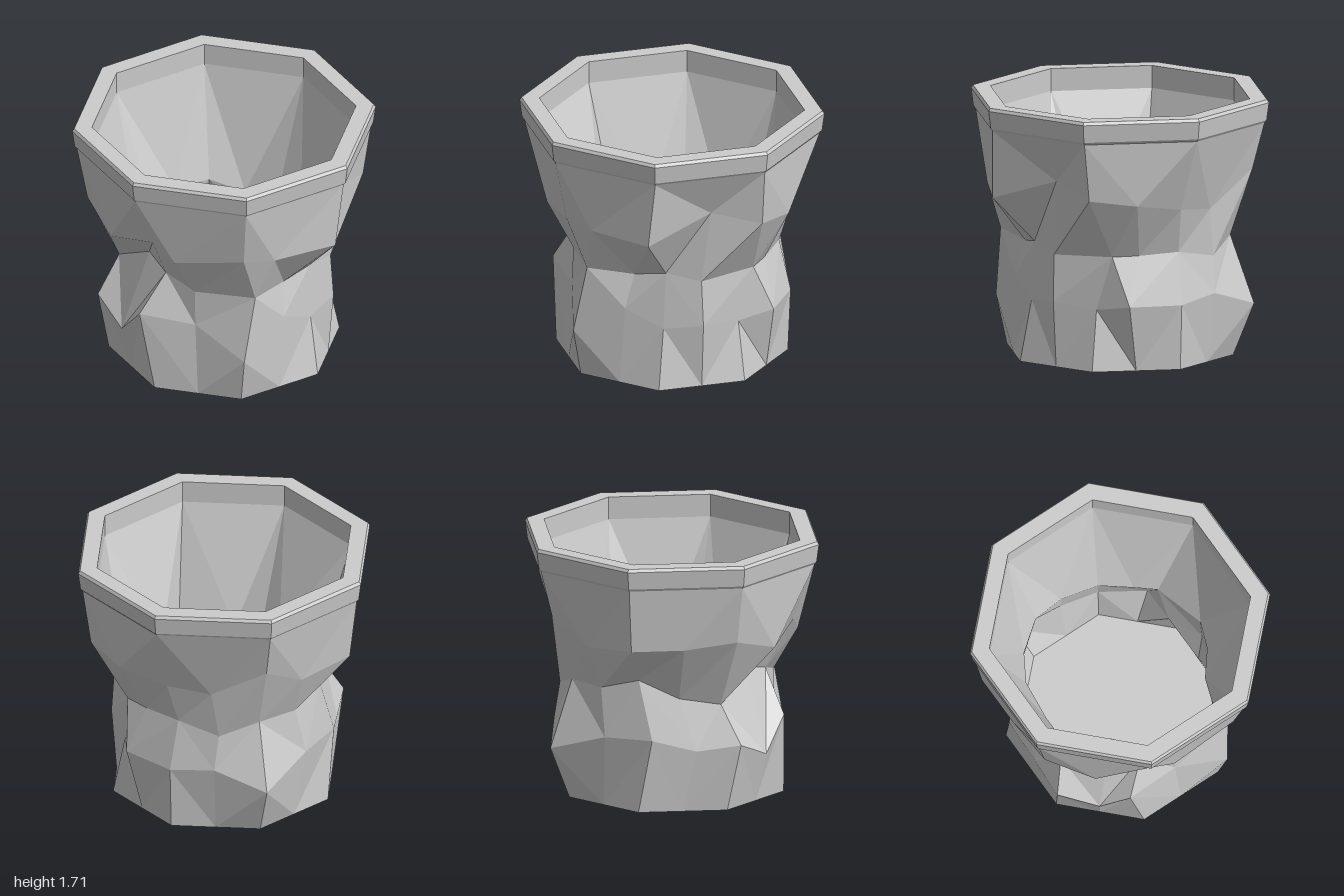
import * as THREE from 'three';

const SIDES = 16;
const material = new THREE.MeshStandardMaterial({ color: 0xcccccc, flatShading: true });

// Octagon ring with a corner facing the front, plus the middle of each edge
function octagon(radius, y) {
  return Array.from({ length: SIDES }, (_, k) => {
    const a = (k * Math.PI * 2) / SIDES;
    const r = k % 2 ? radius * Math.cos(Math.PI / 8) : radius;
    return [r * Math.sin(a), y, r * Math.cos(a)];
  });
}

// Moves a ring towards the axis by the wall thickness
function inset(ring, thickness) {
  return ring.map(([x, y, z]) => {
    const s = 1 - thickness / Math.hypot(x, z);
    return [x * s, y, z * s];
  });
}

// Joins consecutive rings with flat triangles; flip chooses the other diagonal
function loft(name, rings, flip = () => false) {
  const points = [];
  for (let i = 0; i < rings.length - 1; i++) {
    for (let k = 0; k < SIDES; k++) {
      const n = (k + 1) % SIDES;
      const a = rings[i][k], b = rings[i][n], c = rings[i + 1][n], d = rings[i + 1][k];
      if (flip(i, k)) points.push(...a, ...b, ...d, ...b, ...c, ...d);
      else points.push(...a, ...b, ...c, ...a, ...c, ...d);
    }
  }
  const geometry = new THREE.BufferGeometry();
  geometry.setAttribute('position', new THREE.Float32BufferAttribute(points, 3));
  geometry.computeVertexNormals();
  const mesh = new THREE.Mesh(geometry, material);
  mesh.name = name;
  return mesh;
}

// Hewn cross-sections as [x, y, z], starting at the front and turning towards +x
const belly = [
  [0.01, 0.33, 0.83], [0.3, 0.53, 0.63], [0.5, 0.41, 0.47], [0.68, 0.44, 0.28],
  [0.68, 0.4, -0.01], [0.75, 0.44, -0.25], [0.55, 0.43, -0.55], [0.3, 0.47, -0.71],
  [0, 0.35, -0.9], [-0.34, 0.48, -0.68], [-0.6, 0.49, -0.47], [-0.71, 0.41, -0.2],
  [-0.84, 0.45, 0.06], [-0.72, 0.33, 0.31], [-0.63, 0.55, 0.49], [-0.28, 0.51, 0.61],
];
const waist = [
  [0.09, 0.79, 0.78], [0.31, 0.76, 0.56], [0.5, 0.8, 0.45], [0.66, 0.75, 0.28],
  [0.7, 0.76, -0.12], [0.62, 0.76, -0.28], [0.48, 0.77, -0.51], [0.26, 0.71, -0.69],
  [0, 0.8, -0.74], [-0.27, 0.8, -0.67], [-0.49, 0.88, -0.51], [-0.6, 0.75, -0.27],
  [-0.69, 0.7, -0.01], [-0.53, 0.88, 0.26], [-0.45, 0.83, 0.45], [-0.28, 0.76, 0.6],
];
const shoulder = [
  [0, 1.14, 0.88], [0.21, 1.11, 0.84], [0.63, 1.1, 0.7], [0.72, 1.25, 0.25],
  [0.92, 1.17, -0.02], [0.82, 1.13, -0.32], [0.57, 1.07, -0.55], [0.31, 1.03, -0.68],
  [0, 1.25, -0.89], [-0.28, 1.09, -0.78], [-0.65, 1.13, -0.65], [-0.78, 1.13, -0.33],
  [-0.9, 1.17, 0], [-0.8, 1.07, 0.33], [-0.56, 1.17, 0.6], [-0.43, 1.06, 0.7],
];

export function createModel() {
  const model = new THREE.Group();
  model.name = 'facetedPot';

  // Outside wall, from the foot up to the rim; facets spiral between waist and shoulder
  model.add(loft(
    'outerWall',
    [octagon(0.76, 0), belly, waist, shoulder, octagon(0.97, 1.555)],
    (i, k) => i !== 2 && k % 2 === 0,
  ));

  // Overhanging rim with a bevel above and a sloped step below
  model.add(loft('rim', [
    octagon(0.97, 1.555), octagon(0.984, 1.572), octagon(1, 1.69),
    octagon(0.987, 1.71), octagon(0.87, 1.71), octagon(0.87, 1.56),
  ]));

  // Inside wall, straight down to the waist and then out to the floor
  model.add(loft(
    'innerWall',
    [octagon(0.87, 1.56), inset(waist, 0.085), inset(belly, 0.085), octagon(0.67, 0.06)],
    (i, k) => k % 2 === 1,
  ));

  // Foot ring around a shallow recess
  model.add(loft('footRing', [octagon(0.68, 0.035), octagon(0.68, 0), octagon(0.76, 0)]));

  // Floor plate
  const floor = new THREE.Mesh(new THREE.CylinderGeometry(0.68, 0.68, 0.025, 8), material);
  floor.position.y = 0.0475;
  floor.name = 'floor';
  model.add(floor);

  return model;
}
